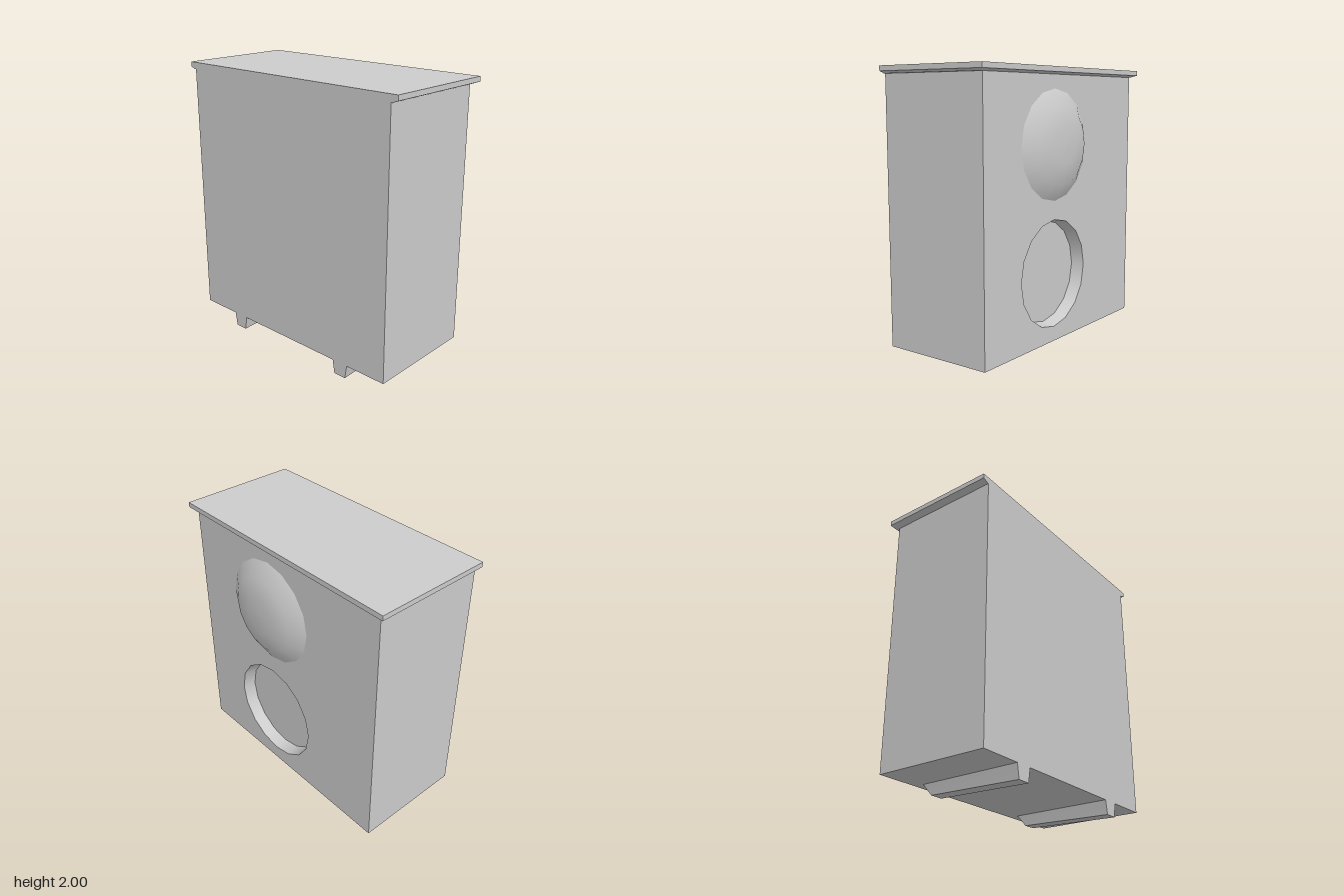
import * as THREE from 'three';

const BACK = -0.46, FRONT = 0.365, BOTTOM = 0.1, TOP = 1.95, HALF = 0.89;
const SIDES = 16, RADIUS = 0.38, DISC_Z = 0.13;

// Box between two heights whose corners are placed by a rule:
// rule(right, up, near) gets booleans for the corner and returns [x, y, z].
function cornerBox(rule) {
  const geo = new THREE.BoxGeometry(1, 1, 1);
  const pos = geo.attributes.position;
  for (let i = 0; i < pos.count; i++) {
    pos.setXYZ(i, ...rule(pos.getX(i) > 0, pos.getY(i) > 0, pos.getZ(i) > 0));
  }
  geo.computeVertexNormals();
  return geo;
}

export function createModel() {
  const model = new THREE.Group();
  const grey = new THREE.MeshStandardMaterial({ color: 0xcccccc, side: THREE.DoubleSide });
  grey.name = 'grey';

  const add = (name, geo, x = 0, y = 0, z = 0, parent = model) => {
    const mesh = new THREE.Mesh(geo, grey);
    mesh.name = name;
    mesh.position.set(x, y, z);
    parent.add(mesh);
    return mesh;
  };

  // Cabinet: a box left open on its +x side
  const shell = new THREE.BoxGeometry(FRONT - BACK, TOP - BOTTOM, HALF * 2);
  shell.setIndex(Array.from(shell.index.array).slice(6));
  shell.clearGroups();
  add('cabinet', shell, (FRONT + BACK) / 2, (TOP + BOTTOM) / 2, 0);

  // Door panel closing the open side, with a round opening
  const discY = 0.585;
  const panel = new THREE.Shape([
    new THREE.Vector2(-HALF, BOTTOM), new THREE.Vector2(HALF, BOTTOM),
    new THREE.Vector2(HALF, TOP), new THREE.Vector2(-HALF, TOP),
  ]);
  const rim = [];
  for (let i = 0; i < SIDES; i++) {
    const a = -i / SIDES * Math.PI * 2;
    rim.push(new THREE.Vector2(-DISC_Z + RADIUS * Math.cos(a), discY + RADIUS * Math.sin(a)));
  }
  panel.holes.push(new THREE.Path(rim));
  add('doorPanel', new THREE.ShapeGeometry(panel).rotateY(Math.PI / 2), FRONT, 0, 0);

  // Round recess: slightly tapered wall and flat floor
  const depth = 0.09, floorRadius = 0.36;
  const recess = new THREE.Group();
  recess.name = 'recess';
  recess.position.set(FRONT, discY, DISC_Z);
  model.add(recess);
  add('recessWall',
    new THREE.CylinderGeometry(RADIUS, floorRadius, depth, SIDES, 1, true).rotateZ(-Math.PI / 2),
    -depth / 2, 0, 0, recess);
  add('recessFloor', new THREE.CircleGeometry(floorRadius, SIDES).rotateY(Math.PI / 2),
    -depth, 0, 0, recess);

  // Shallow dome
  const profile = [[RADIUS, 0], [0.27, 0.066], [0.125, 0.089], [0, 0.091]]
    .map(([r, h]) => new THREE.Vector2(r, h));
  add('dome', new THREE.LatheGeometry(profile, SIDES).rotateZ(-Math.PI / 2), FRONT, 1.475, DISC_Z);

  // Lid: thin slab over a sloping underside, flush with the back
  const lidFront = 0.405, lidHalf = 0.94, lidY = 1.965;
  add('lidSlab', cornerBox((right, up, near) =>
    [right ? lidFront : BACK, up ? 2 : lidY, near ? lidHalf : -lidHalf]));
  add('lidUnderside', cornerBox((right, up, near) => {
    const half = up ? lidHalf : 0.9;
    return [right ? (up ? lidFront : FRONT) : BACK, up ? lidY : TOP, near ? half : -half];
  }));

  // Two tapered runners under the cabinet, cut back at their front ends
  for (const side of [-1, 1]) {
    const foot = cornerBox((right, up, near) => {
      const half = up ? 0.064 : 0.048;
      return [
        right ? (up ? 0.295 : 0.235) : BACK,
        up ? BOTTOM : (right ? 0.022 : 0),
        near ? half : -half,
      ];
    });
    add(side > 0 ? 'leftFoot' : 'rightFoot', foot, 0, 0, side * 0.51);
  }

  return model;
}
